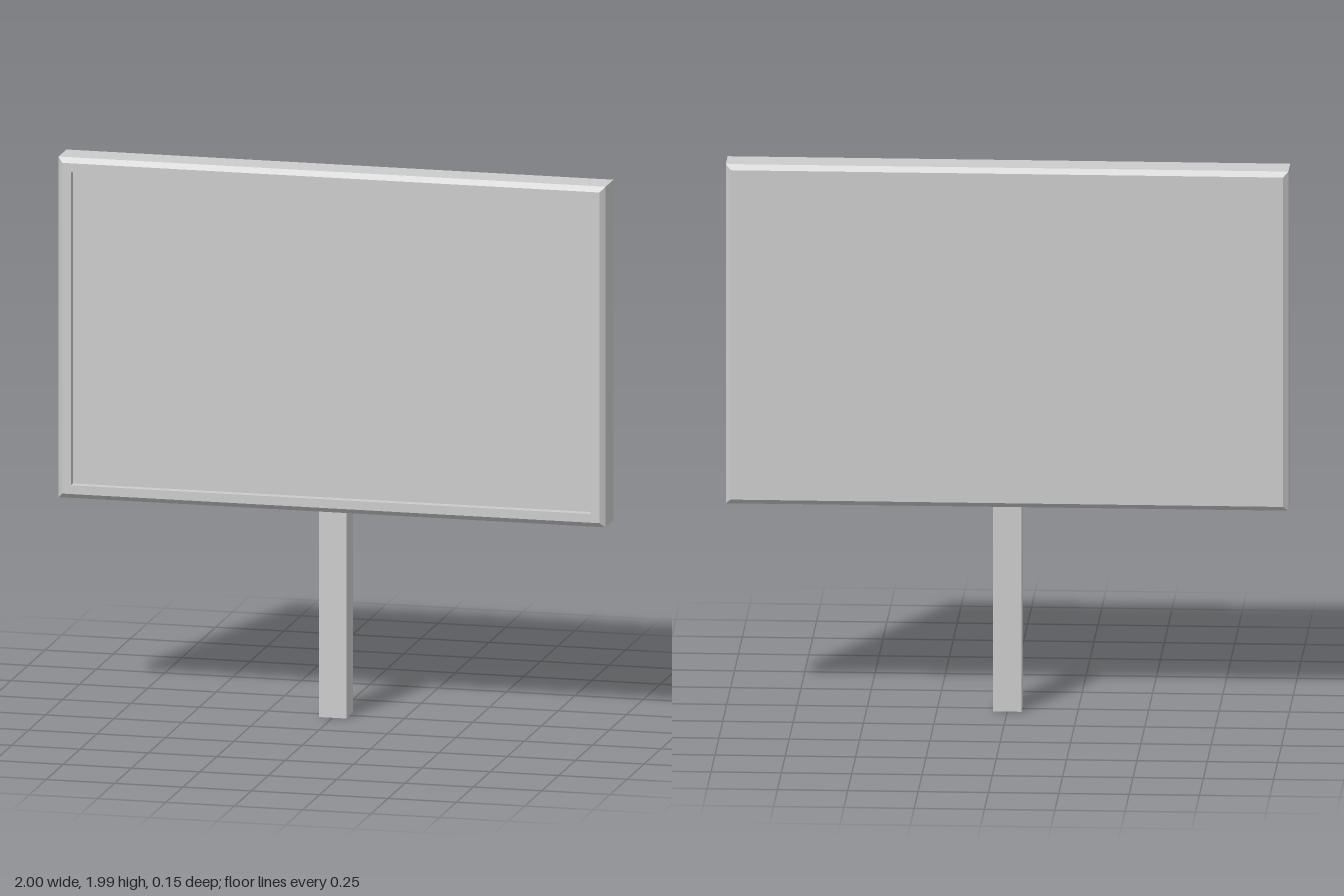
import * as THREE from 'three';

const WIDTH = 2, BOTTOM = 0.75, TOP = 1.99, HALF_DEPTH = 0.076;
const BEVEL = 0.018, RIM = 0.05, RECESS = 0.03, POST = 0.1;

// Rectangle corners of the sign, pulled in by an inset, counter-clockwise from the front
function ring([inset, z]) {
  const x = WIDTH / 2 - inset, y0 = BOTTOM + inset, y1 = TOP - inset;
  return [[-x, y0, z], [x, y0, z], [x, y1, z], [-x, y1, z]];
}

// Skin successive rectangles with flat quads, closing the first one
function loftRings(sections) {
  const rings = sections.map(ring), pos = [];
  const quad = (a, b, c, d) => pos.push(...a, ...b, ...c, ...a, ...c, ...d);
  const [p, q, r, s] = rings[0];
  quad(s, r, q, p);
  for (let k = 0; k < rings.length - 1; k++) {
    for (let i = 0; i < 4; i++) {
      const j = (i + 1) % 4;
      quad(rings[k][i], rings[k][j], rings[k + 1][j], rings[k + 1][i]);
    }
  }
  const geometry = new THREE.BufferGeometry();
  geometry.setAttribute('position', new THREE.Float32BufferAttribute(pos, 3));
  geometry.computeVertexNormals();
  return geometry;
}

export function createModel() {
  const model = new THREE.Group();
  model.name = 'signboard';
  const material = new THREE.MeshStandardMaterial({ color: 0xcccccc, flatShading: true });
  const add = (name, geometry, y = 0, z = 0) => {
    const mesh = new THREE.Mesh(geometry, material);
    mesh.name = name;
    mesh.position.set(0, y, z);
    model.add(mesh);
  };

  // Bevelled casing with a raised front rim and the recess walls
  add('casing', loftRings([
    [BEVEL, -HALF_DEPTH],
    [0, -HALF_DEPTH + BEVEL],
    [0, HALF_DEPTH - BEVEL],
    [BEVEL, HALF_DEPTH],
    [RIM, HALF_DEPTH],
    [RIM, HALF_DEPTH - RECESS],
  ]));

  // Recessed display face
  add('displayPanel',
    new THREE.PlaneGeometry(WIDTH - 2 * RIM, TOP - BOTTOM - 2 * RIM),
    (TOP + BOTTOM) / 2, HALF_DEPTH - RECESS);

  // Square support post
  add('post', new THREE.BoxGeometry(POST, BOTTOM, POST), BOTTOM / 2);

  return model;
}
